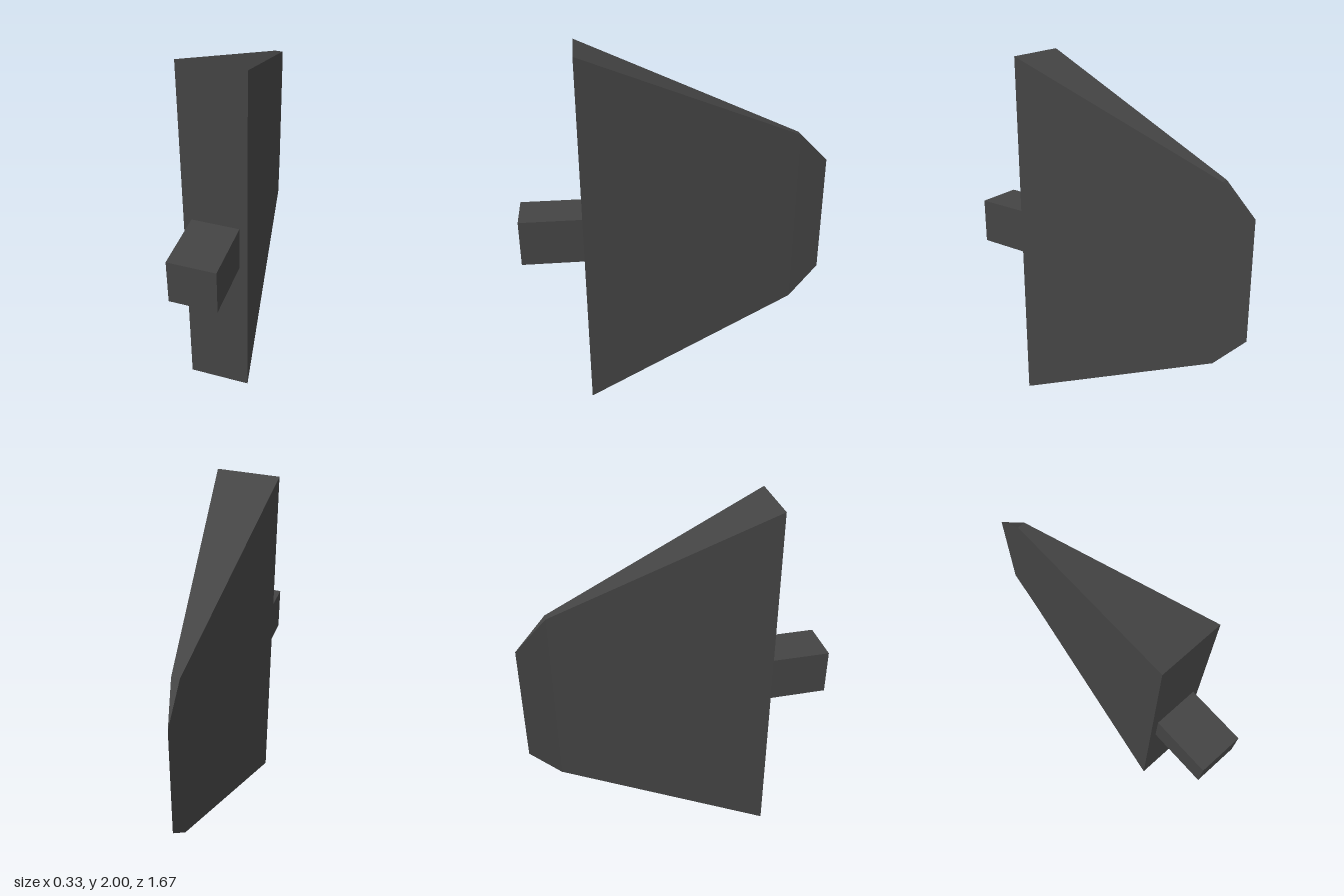
import * as THREE from 'three';

// Cross-sections from front to back; the last one closes to a vertical edge.
const SECTIONS = [
  { z: 0.5, left: -0.167, right: 0.167, low: 0, high: 2 },
  { z: -0.667, left: -0.042, right: 0, low: 0.5, high: 1.5 },
  { z: -0.833, left: -0.042, right: -0.042, low: 0.667, high: 1.333 },
];

// Tapered blade: front cap plus flat walls joining the sections.
function bladeGeometry() {
  const rings = SECTIONS.map(({ z, left, right, low, high }) => [
    new THREE.Vector3(left, low, z),
    new THREE.Vector3(right, low, z),
    new THREE.Vector3(right, high, z),
    new THREE.Vector3(left, high, z),
  ]);
  const points = [];
  const triangle = (a, b, c) => {
    if (new THREE.Triangle(a, b, c).getArea() > 1e-6) points.push(a, b, c);
  };
  const quad = (a, b, c, d) => {
    triangle(a, b, c);
    triangle(a, c, d);
  };
  quad(...rings[0]);
  for (let s = 0; s < rings.length - 1; s++) {
    const front = rings[s], back = rings[s + 1];
    for (let i = 0; i < 4; i++) {
      const j = (i + 1) % 4;
      quad(front[i], back[i], back[j], front[j]);
    }
  }
  const geometry = new THREE.BufferGeometry().setFromPoints(points);
  geometry.computeVertexNormals();
  return geometry;
}

export function createModel() {
  const group = new THREE.Group();
  group.name = 'finWithMount';
  const charcoal = new THREE.MeshStandardMaterial({ color: 0x444444 });
  charcoal.name = 'charcoal';

  const blade = new THREE.Mesh(bladeGeometry(), charcoal);
  blade.name = 'blade';

  // Square mounting stub on the front face
  const mount = new THREE.Mesh(new THREE.BoxGeometry(0.25, 0.25, 0.333), charcoal);
  mount.name = 'mount';
  mount.position.set(0, 1, 0.6665);

  group.add(blade, mount);
  return group;
}
